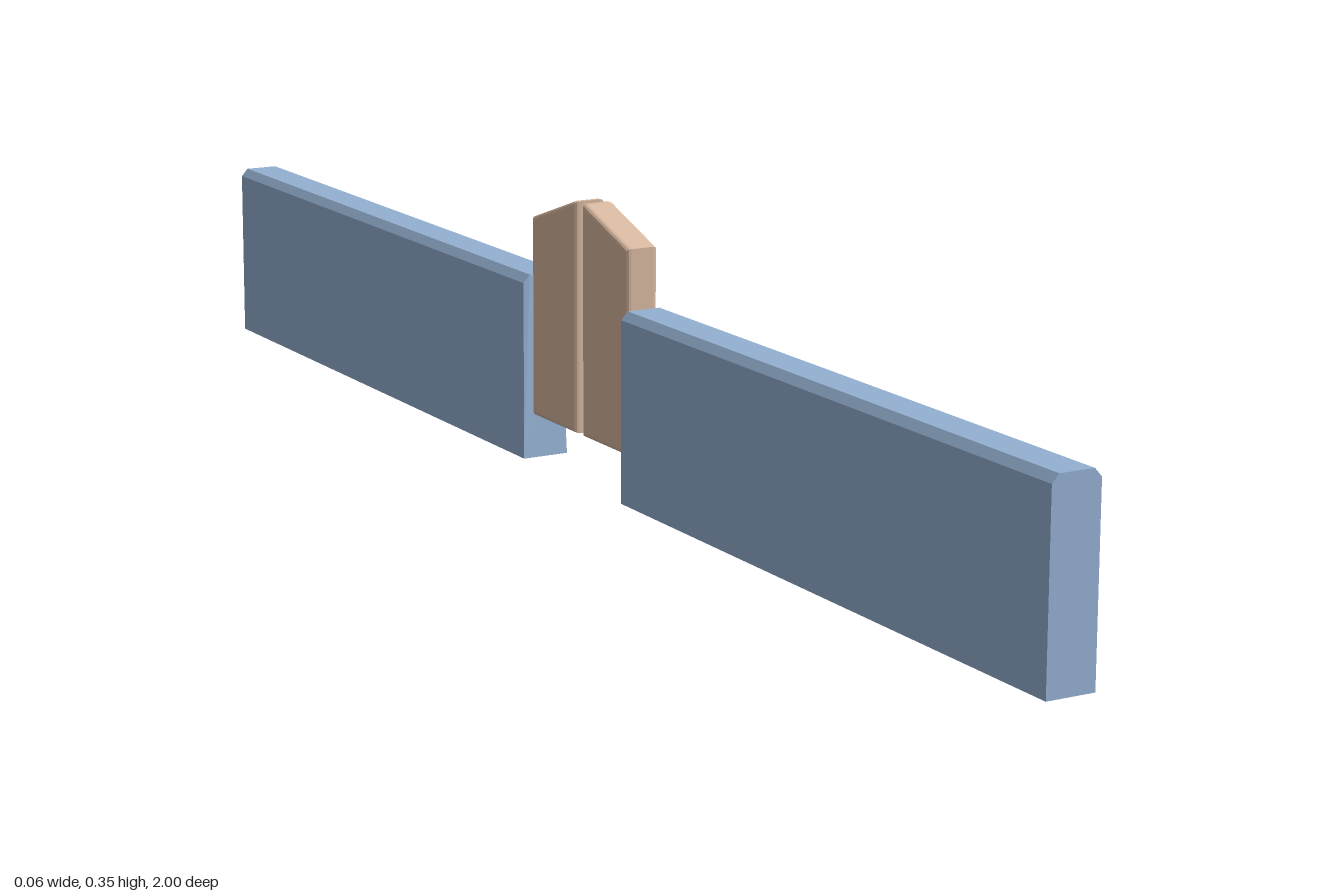
import * as THREE from 'three';

const stone = new THREE.MeshStandardMaterial({ color: 0x94b0d2, flatShading: true });
const wood = new THREE.MeshStandardMaterial({ color: 0xd8b8a0, flatShading: true });

function polygon(points) {
  return new THREE.Shape(points.map(([x, y]) => new THREE.Vector2(x, y)));
}

function addMesh(parent, name, geometry, material) {
  const mesh = new THREE.Mesh(geometry, material);
  mesh.name = name;
  parent.add(mesh);
  return mesh;
}

// Long wall with chamfered top; side is +1 (front) or -1 (back)
function makeWall(side) {
  const inner = 0.125, length = 0.875;
  const section = polygon([
    [-0.031, 0], [0.031, 0], [0.031, 0.228], [0.022, 0.238], [-0.022, 0.238], [-0.031, 0.228],
  ]);
  const geo = new THREE.ExtrudeGeometry(section, { depth: length, bevelEnabled: false });
  geo.translate(0, 0, side > 0 ? inner : -1);

  // Worn upper corner beside the gate
  const p = geo.attributes.position;
  for (let i = 0; i < p.count; i++) {
    const atGate = Math.abs(p.getZ(i)) < inner + 0.001;
    if (atGate && p.getX(i) > 0.03 && p.getY(i) > 0.2) p.setZ(i, side * (inner + 0.022));
  }
  geo.computeVertexNormals();
  return geo;
}

// Gate leaf: bevelled frame with sloping top, recessed panel and knob
function makeLeaf(side) {
  const leaf = new THREE.Group();
  const bevel = 0.006, half = 0.021;
  const z0 = 0.008, z1 = 0.122;
  const hole = { z0: 0.025, z1: 0.1, y0: 0.071, y1: 0.302 };

  const outline = polygon([
    [-side * z0, 0.057], [-side * z1, 0.057], [-side * z1, 0.313],
    [-side * (z0 + 0.006), 0.35], [-side * z0, 0.35],
  ]);
  outline.holes.push(polygon([
    [-side * hole.z0, hole.y0], [-side * hole.z0, hole.y1],
    [-side * hole.z1, hole.y1], [-side * hole.z1, hole.y0],
  ]));
  const frame = new THREE.ExtrudeGeometry(outline, {
    depth: 2 * (half - bevel), bevelThickness: bevel, bevelSize: bevel,
    bevelOffset: -bevel, bevelSegments: 3,
  });
  frame.translate(0, 0, -(half - bevel));
  frame.rotateY(Math.PI / 2);
  addMesh(leaf, 'gateFrame', frame, wood);

  // Panel closes the back of the frame and forms the recess floor
  const floorX = -0.005;
  const panel = addMesh(leaf, 'gatePanel', new THREE.BoxGeometry(
    half + floorX, hole.y1 - hole.y0 + 2 * bevel, hole.z1 - hole.z0 + 2 * bevel), wood);
  panel.position.set((floorX - half) / 2, (hole.y0 + hole.y1) / 2, side * (hole.z0 + hole.z1) / 2);

  const knob = addMesh(leaf, 'gateKnob', new THREE.SphereGeometry(0.004, 10, 8), wood);
  knob.position.set(0.02, 0.215, side * 0.0165);
  return leaf;
}

export function createModel() {
  const model = new THREE.Group();
  model.name = 'gatedWall';
  for (const side of [1, -1]) {
    const label = side > 0 ? 'front' : 'back';
    addMesh(model, label + 'Wall', makeWall(side), stone);
    const leaf = makeLeaf(side);
    leaf.name = label + 'GateLeaf';
    model.add(leaf);
  }
  return model;
}
